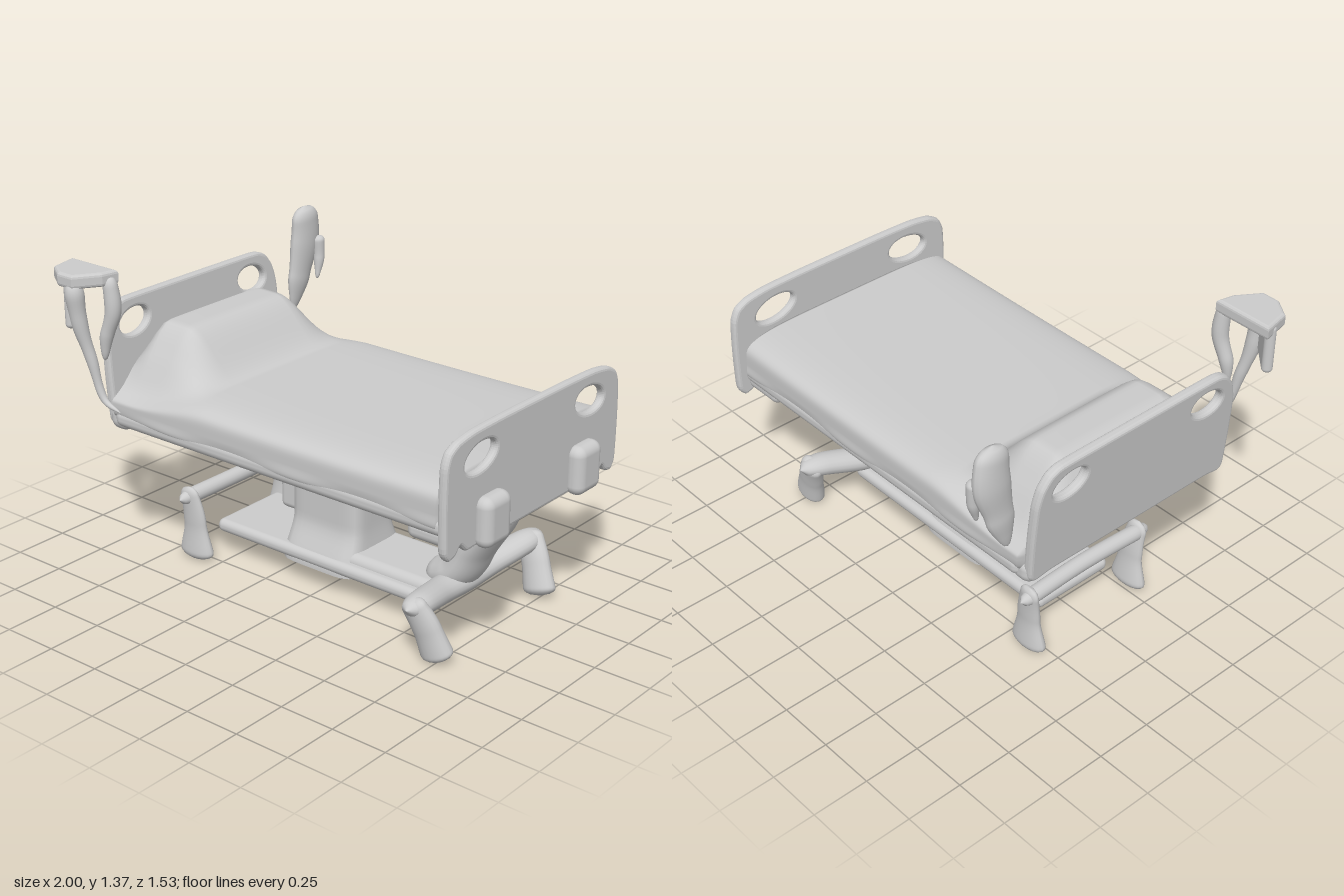
import * as THREE from 'three';
import { mergeVertices } from 'three/addons/utils/BufferGeometryUtils.js';
import { RoundedBoxGeometry } from 'three/addons/geometries/RoundedBoxGeometry.js';
import { ParametricGeometry } from 'three/addons/geometries/ParametricGeometry.js';

const V = (x, y, z) => new THREE.Vector3(x, y, z);
const ss = THREE.MathUtils.smoothstep;

export function createModel() {
  const model = new THREE.Group();
  model.name = 'hospitalBed';
  const mat = new THREE.MeshStandardMaterial({ color: 0xcccccc });

  const add = (name, geo, x = 0, y = 0, z = 0) => {
    const mesh = new THREE.Mesh(geo, mat);
    mesh.name = name;
    mesh.position.set(x, y, z);
    model.add(mesh);
    return mesh;
  };

  // Rounded box given by its extents
  const box = (name, x0, x1, y0, y1, z0, z1, r = 0.03) =>
    add(name, new RoundedBoxGeometry(x1 - x0, y1 - y0, z1 - z0, 4, r),
      (x0 + x1) / 2, (y0 + y1) / 2, (z0 + z1) / 2);

  // Soft limb along a curve, radii spread evenly along it, rounded ends;
  // sx and sz stretch its section
  const limb = (name, pts, radii, sx = 1, sz = 1) => {
    const N = 40, M = 18;
    const curve = new THREE.CatmullRomCurve3(pts.map(p => V(...p)));
    let geo = new THREE.TubeGeometry(curve, N, 1, M);
    const pos = geo.attributes.position, nor = geo.attributes.normal;
    for (let i = 0; i < pos.count; i++) {
      const t = Math.floor(i / (M + 1)) / N, c = curve.getPointAt(t);
      const k = Math.min(t * (radii.length - 1), radii.length - 1.0001), j = Math.floor(k);
      const end = Math.min(1, Math.min(t, 1 - t) / 0.12);
      const r = THREE.MathUtils.lerp(radii[j], radii[j + 1], ss(k - j, 0, 1))
        * Math.sqrt(Math.max(0.0004, 1 - (1 - end) ** 2));
      pos.setXYZ(i, c.x + nor.getX(i) * r * sx, c.y + nor.getY(i) * r, c.z + nor.getZ(i) * r * sz);
    }
    geo.deleteAttribute('uv');
    geo.deleteAttribute('normal');
    geo = mergeVertices(geo, 1e-5);
    geo.computeVertexNormals();
    return add(name, geo);
  };

  // Mattress with raised head and pillow, draped sides
  const mattressGeo = new ParametricGeometry((u, v, out) => {
    const a = v * Math.PI * 2, c = Math.cos(a), s = Math.sin(a), n = 5;
    const k = Math.pow(Math.abs(c) ** n + Math.abs(s) ** n, -1 / n);
    const x = -0.86 + 1.77 * u;
    const head = 1 - ss(x, -0.75, -0.3);
    const close = Math.min(1, Math.min(u, 1 - u) / 0.012);
    let z = 0.555 * c * k, y = s * k;
    if (y > 0) {
      const w = Math.abs(z);
      const hump = 0.2 * (1 - ss(x, -0.63, -0.37)) * ss(x, -0.9, -0.74) * (1 - ss(w, 0.27, 0.5));
      y = 0.75 + y * (0.115 + 0.015 * (x - 0.1) ** 2 + hump - 0.08 * head * ss(w, 0.4, 0.56));
    } else {
      y = 0.75 + y * (0.1 - 0.02 * head);
      z *= 1 + 0.012 * Math.sin(x * 9) * ss(0.75 - y, 0, 0.06);
    }
    out.set(x, 0.75 + (y - 0.75) * close, z * close);
  }, 90, 128);
  const mattress = add('mattress', mattressGeo);
  mattress.material = mat.clone();
  mattress.material.side = THREE.DoubleSide;

  // Frame rails and cross members under the mattress
  for (const s of [-1, 1]) {
    box('sideRail', -0.82, 0.9, 0.655, 0.735, s * 0.51 - 0.045, s * 0.51 + 0.045, 0.035);
    box('headCornerBumper', -0.87, -0.76, 0.63, 0.74, s * 0.49 - 0.05, s * 0.49 + 0.05, 0.045);
    box('footCornerBracket', 0.71, 0.92, 0.6, 0.68, s * 0.47 - 0.06, s * 0.47 + 0.06, 0.035);
  }
  box('footCrossMember', 0.72, 0.91, 0.59, 0.68, -0.2, 0.2, 0.035);

  // End boards: half outline mirrored, two grip openings, rounded edges
  const board = (name, half, gripY, gripW, gripH, thick) => {
    const right = half.map(p => new THREE.Vector2(...p));
    const left = right.map(p => new THREE.Vector2(-p.x, p.y)).reverse();
    const outline = new THREE.CatmullRomCurve3(
      [...right, ...left].map(p => V(p.x, p.y, 0)), true, 'catmullrom', 0.3);
    const shape = new THREE.Shape(outline.getPoints(120).map(p => new THREE.Vector2(p.x, p.y)));
    for (const s of [-1, 1]) {
      const hole = new THREE.Path();
      hole.absellipse(s * 0.365, gripY, gripW, gripH, 0, Math.PI * 2, true, -s * 0.15);
      shape.holes.push(hole);
    }
    const b = 0.015;
    const geo = new THREE.ExtrudeGeometry(shape, {
      depth: thick - 2 * b, bevelThickness: b, bevelSize: b, bevelOffset: -b, bevelSegments: 3, curveSegments: 24,
    });
    geo.translate(0, 0, b - thick / 2);
    geo.rotateY(Math.PI / 2);
    return add(name, geo);
  };
  board('footboard', [[0.2, 0.58], [0.38, 0.58], [0.44, 0.58], [0.48, 0.615], [0.51, 0.585], [0.55, 0.575],
    [0.58, 0.62], [0.585, 0.8], [0.58, 0.95], [0.555, 1.01], [0.5, 1.04], [0.4, 1.055], [0.2, 1.06]],
    0.94, 0.1, 0.055, 0.04).position.x = 0.92;
  const headboard = board('headboard', [[0.2, 0.66], [0.42, 0.66], [0.5, 0.65], [0.53, 0.68], [0.535, 0.85],
    [0.53, 1.02], [0.51, 1.1], [0.47, 1.155], [0.41, 1.178], [0.2, 1.18]], 1.07, 0.085, 0.055, 0.045);
  headboard.rotation.z = 0.08;
  headboard.position.set(-0.795, 0, 0);

  // Foot bumpers
  for (const s of [-1, 1]) box('footBumper', 0.91, 1.0, 0.57, 0.78, s * 0.31 - 0.083, s * 0.31 + 0.083, 0.042);

  // Base plate, flared lift column and motor housing
  box('basePlate', -0.58, 0.62, 0.11, 0.17, -0.2, 0.2, 0.028);
  box('footBaseCover', 0.1, 0.64, 0.12, 0.205, -0.16, 0.16, 0.04);
  const columnGeo = new ParametricGeometry((u, v, out) => {
    const a = -u * Math.PI * 2, c = Math.cos(a), s = Math.sin(a);
    const k = Math.pow(c ** 6 + s ** 6, -1 / 6);
    const flare = 1 - ss(v, 0, 0.35), top = ss(v, 0.85, 1);
    out.set(-0.03 + c * k * (0.185 + 0.015 * flare + 0.02 * top), 0.1 + 0.57 * v,
      s * k * (0.135 + 0.06 * flare + 0.02 * top));
  }, 48, 24);
  const column = add('liftColumn', columnGeo);
  column.material = mattress.material;
  box('motorHousing', -0.28, -0.15, 0.29, 0.56, -0.12, 0.12, 0.03);

  // Slanted strut at the foot end
  limb('footStrut', [[0.45, 0.18, 0], [0.6, 0.24, 0], [0.68, 0.37, 0], [0.77, 0.5, 0], [0.82, 0.61, 0]],
    [0.06, 0.08, 0.075, 0.07, 0.06], 1, 1.55);

  // Crossbars
  limb('footCrossbar', [[0.67, 0.245, -0.46], [0.66, 0.235, -0.36], [0.61, 0.195, -0.15], [0.6, 0.185, 0],
    [0.61, 0.195, 0.15], [0.66, 0.235, 0.36], [0.67, 0.245, 0.46]], [0.045, 0.05, 0.055, 0.05, 0.045], 1.3);
  limb('headCrossbar', [[-0.64, 0.295, -0.36], [-0.63, 0.3, 0], [-0.64, 0.295, 0.36]], [0.035, 0.035, 0.035]);

  // Castor legs
  for (const s of [-1, 1]) {
    limb('footCastor', [[0.65, 0.27, s * 0.41], [0.7, 0.17, s * 0.38], [0.755, 0.015, s * 0.35]],
      [0.055, 0.065, 0.075], 1.05, 0.65);
    limb('headCastor', [[-0.64, 0.345, s * 0.31], [-0.62, 0.22, s * 0.295], [-0.615, 0.005, s * 0.285]],
      [0.05, 0.065, 0.1], 0.95, 0.42);
  }

  // Left guard: hooked panel, canopy and thin stalks
  const panel = add('guardPanel', new RoundedBoxGeometry(0.2, 0.22, 0.045, 4, 0.02), -0.91, 1.245, 0.675);
  panel.rotation.y = -0.75;
  const top = new THREE.Shape([[-0.995, 0.575], [-0.97, 0.7], [-0.89, 0.755], [-0.81, 0.755], [-0.74, 0.65],
    [-0.725, 0.575]].map(p => new THREE.Vector2(...p)));
  const canopyGeo = new THREE.ExtrudeGeometry(top, {
    depth: 0.03, bevelThickness: 0.015, bevelSize: 0.015, bevelOffset: -0.015, bevelSegments: 3,
  });
  canopyGeo.rotateX(Math.PI / 2);
  add('guardCanopy', canopyGeo, 0, 1.355, 0);
  limb('guardInnerStalk', [[-0.745, 1.35, 0.61], [-0.735, 1.2, 0.605], [-0.77, 1.08, 0.615], [-0.78, 0.98, 0.62]],
    [0.03, 0.035, 0.03, 0.015], 1, 1);
  limb('guardOuterStalk', [[-0.83, 1.34, 0.73], [-0.82, 1.15, 0.71], [-0.79, 1.0, 0.685], [-0.74, 0.83, 0.67],
    [-0.65, 0.795, 0.67]], [0.045, 0.035, 0.025, 0.018, 0.008]);

  // Right guard: upright paddle with a short prong
  limb('guardPaddle', [[-0.81, 1.345, -0.67], [-0.815, 1.2, -0.68], [-0.82, 1.05, -0.65], [-0.83, 0.86, -0.61]],
    [0.075, 0.085, 0.065, 0.025], 0.5, 1);
  limb('guardProng', [[-0.78, 1.2, -0.73], [-0.775, 1.1, -0.73], [-0.77, 1.0, -0.71]], [0.03, 0.025, 0.01]);

  return model;
}
